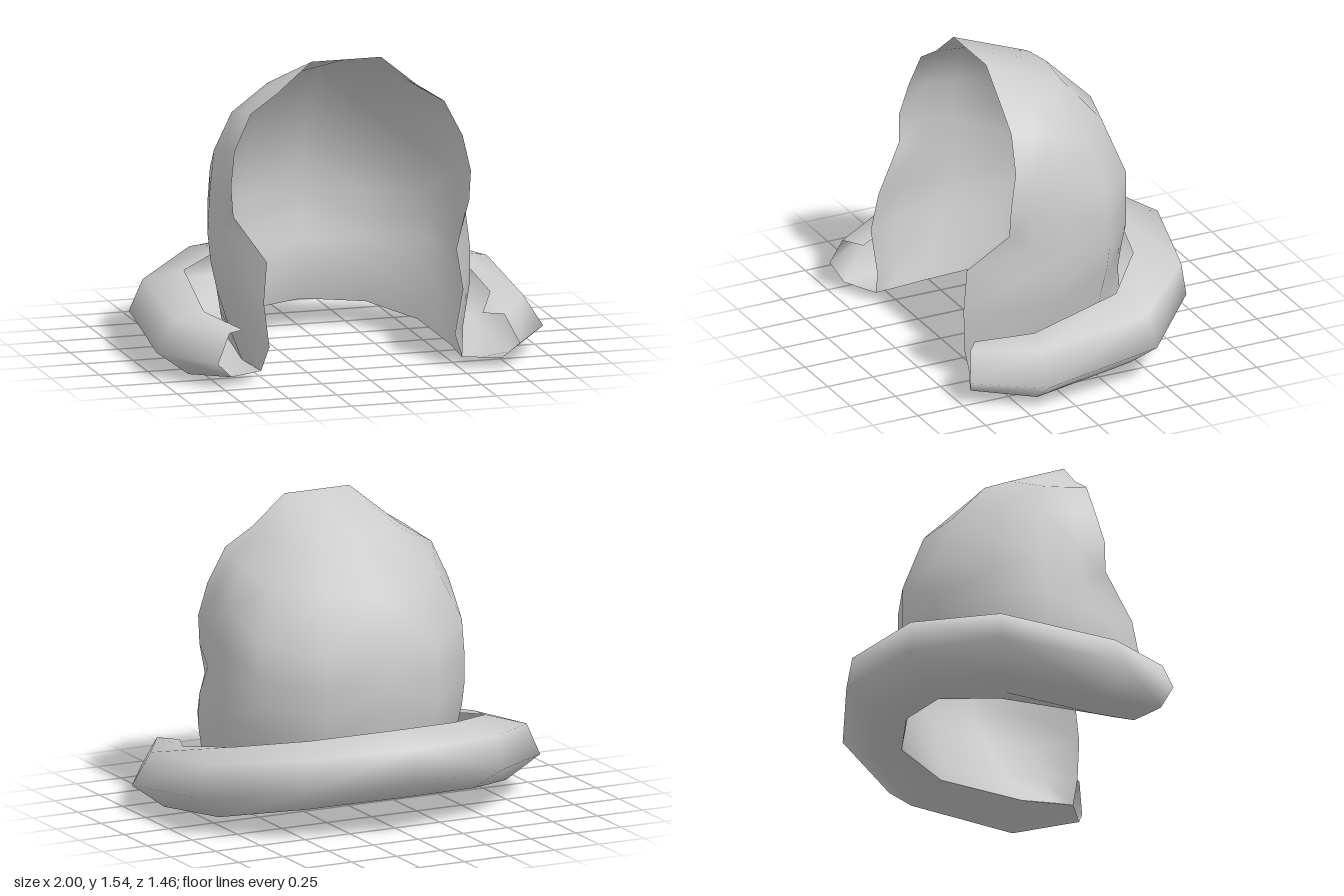
import * as THREE from 'three';
import { mergeVertices } from 'three/addons/utils/BufferGeometryUtils.js';

// Smooth sheet from rows of points running from the left front edge to the
// middle of the back; each row is mirrored to the right side.
function mirroredSheet(name, rows) {
  const full = rows.map(r => [...r, ...r.slice(0, -1).reverse().map(([x, y, z]) => [-x, y, z])]);
  const n = full[0].length;
  const index = [];
  for (let r = 0; r < full.length - 1; r++) {
    for (let c = 0; c < n - 1; c++) {
      const a = r * n + c, b = a + 1, d = a + n, e = d + 1;
      // mirror the diagonals too
      if (c < (n - 1) / 2) index.push(a, d, b, b, d, e);
      else index.push(a, d, e, a, e, b);
    }
  }
  let geo = new THREE.BufferGeometry();
  geo.setAttribute('position', new THREE.Float32BufferAttribute(full.flat(2), 3));
  geo.setIndex(index);
  geo = mergeVertices(geo);
  geo.computeVertexNormals();
  const mesh = new THREE.Mesh(geo, new THREE.MeshStandardMaterial({ color: 0xcccccc, side: THREE.DoubleSide }));
  mesh.name = name;
  return mesh;
}

// Adds a cheek point behind the front edge, nearly as wide as the side, so
// that the front flap turns inward.
function withCheek([front, side, ...rest]) {
  const cheek = [
    Math.max(front[0], side[0] - 0.015),
    (front[1] + side[1]) / 2,
    front[2] * 0.6 + side[2] * 0.4,
  ];
  return [front, cheek, side, ...rest];
}

export function createModel() {
  const group = new THREE.Group();
  group.name = 'hood';

  // lower edge where the hood meets the underside of the collar
  const hem = [[0.52, 0.05, 0.6], [0.54, 0.05, 0.34], [0.5, 0.085, -0.09], [0.31, 0.13, -0.35], [0, 0.15, -0.42]];
  const crown = [0.18, 1.54, 0.34];

  // hood shell, crown to hem: front edge, side, rear side, rear quarter, back
  const hoodRows = [
    [crown, crown, crown, crown, [0, 1.54, 0.34]],
    [[0.36, 1.39, 0.345], [0.36, 1.37, 0.15], [0.31, 1.37, 0.02], [0.18, 1.38, -0.07], [0, 1.4, -0.08]],
    [[0.5, 1.3, 0.36], [0.53, 1.26, 0.13], [0.46, 1.17, -0.07], [0.26, 1.15, -0.26], [0, 1.15, -0.33]],
    [[0.59, 1.12, 0.38], [0.615, 1.07, 0.11], [0.56, 0.92, -0.14], [0.31, 0.86, -0.37], [0, 0.86, -0.44]],
    [[0.62, 0.95, 0.42], [0.635, 0.85, 0.1], [0.57, 0.74, -0.15], [0.31, 0.7, -0.37], [0, 0.7, -0.44]],
    [[0.61, 0.8, 0.425], [0.645, 0.64, 0.1], [0.57, 0.6, -0.15], [0.31, 0.57, -0.37], [0, 0.57, -0.44]],
    [[0.49, 0.6, 0.6], [0.635, 0.5, 0.12], [0.56, 0.48, -0.14], [0.3, 0.46, -0.35], [0, 0.46, -0.41]],
    [[0.515, 0.4, 0.63], [0.62, 0.37, 0.18], [0.54, 0.36, -0.12], [0.3, 0.34, -0.33], [0, 0.34, -0.39]],
    [[0.48, 0.17, 0.61], [0.58, 0.19, 0.26], [0.52, 0.2, -0.1], [0.3, 0.22, -0.34], [0, 0.23, -0.4]],
    hem,
  ];
  group.add(mirroredSheet('hoodShell', hoodRows.map(withCheek)));

  // rolled collar: upper lip, top, outer rim, outer underside, inner underside, hem
  group.add(mirroredSheet('rolledCollar', [
    [[0.62, 0.27, 0.62], [0.74, 0.31, 0.35], [0.7, 0.41, -0.12], [0.41, 0.46, -0.36], [0, 0.49, -0.47]],
    [[0.71, 0.275, 0.69], [0.9, 0.29, 0.39], [0.89, 0.36, -0.2], [0.54, 0.42, -0.56], [0, 0.445, -0.7]],
    [[0.78, 0.13, 0.725], [1, 0.13, 0.4], [0.955, 0.2, -0.22], [0.56, 0.25, -0.58], [0, 0.28, -0.73]],
    [[0.7, 0.05, 0.685], [0.83, 0.005, 0.38], [0.8, 0.07, -0.15], [0.46, 0.14, -0.46], [0, 0.17, -0.57]],
    [[0.6, 0.05, 0.64], [0.64, 0, 0.36], [0.61, 0.07, -0.11], [0.37, 0.13, -0.39], [0, 0.15, -0.47]],
    hem,
  ]));

  return group;
}
